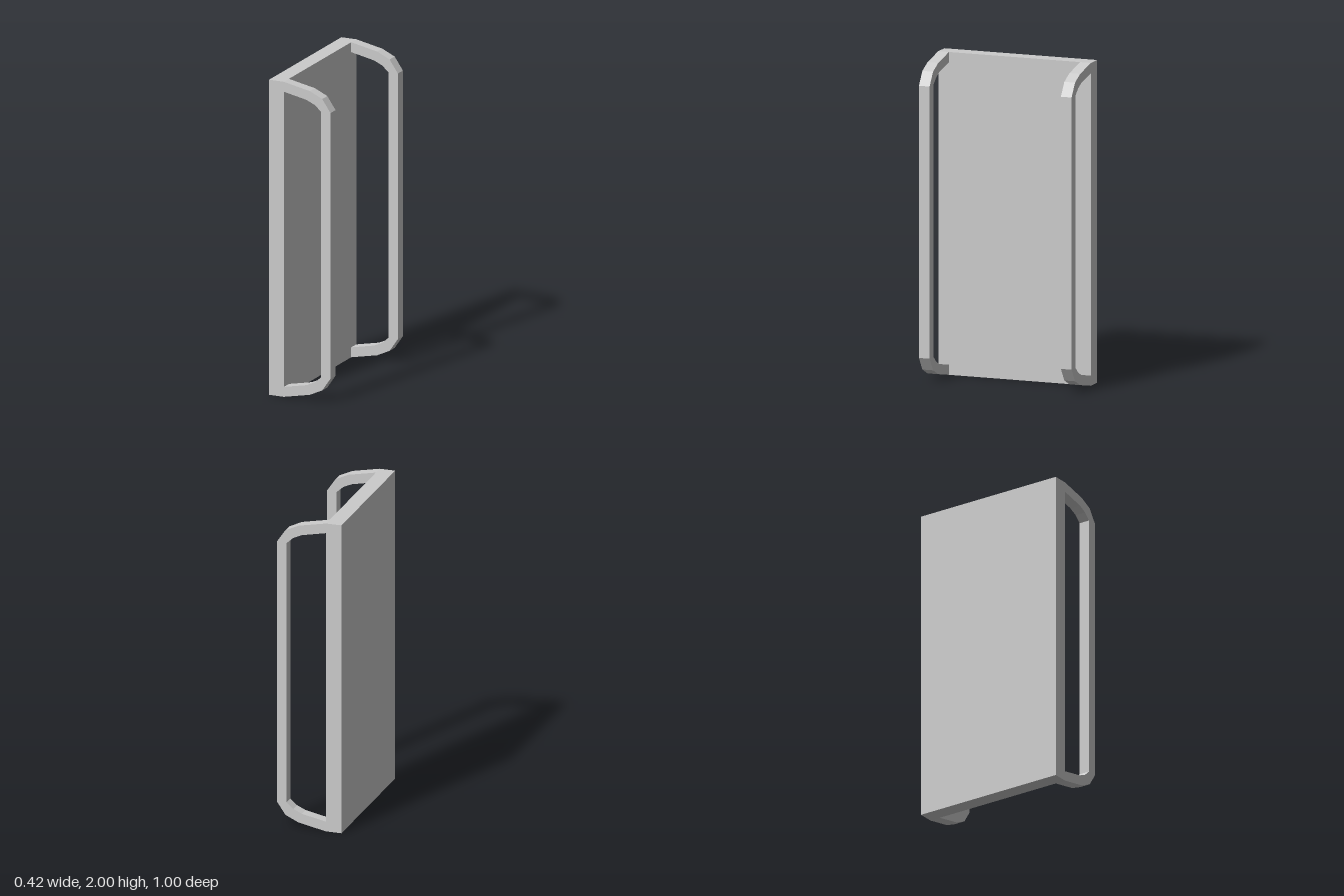
import * as THREE from 'three';

const PANEL_FRONT = -0.11;
const HALF_WIDTH = 0.5;
const RAIL_DEPTH = 0.07;

// Upper halves of the rail outline, mirrored about y = 1 for the lower half
const OUTER = [[PANEL_FRONT, 2], [0.066, 1.964], [0.15, 1.925], [0.206, 1.843]];
const INNER = [[PANEL_FRONT, 1.937], [0.045, 1.905], [0.1, 1.88], [0.143, 1.842]];

function mirrored(half) {
  const lower = half.map(([x, y]) => [x, 2 - y]).reverse();
  return [...half, ...lower].map(([x, y]) => new THREE.Vector2(x, y));
}

export function createModel() {
  const group = new THREE.Group();
  const material = new THREE.MeshStandardMaterial({ color: 0xcccccc, flatShading: true });

  // Flat back panel
  const panel = new THREE.Mesh(new THREE.BoxGeometry(0.1, 2, 2 * HALF_WIDTH), material);
  panel.name = 'backPanel';
  panel.position.set(PANEL_FRONT - 0.05, 1, 0);
  group.add(panel);

  // Bent side rails, one at each edge of the panel
  const outline = new THREE.Shape([...mirrored(OUTER), ...mirrored(INNER).reverse()]);
  const railGeometry = new THREE.ExtrudeGeometry(outline, { depth: RAIL_DEPTH, bevelEnabled: false });
  for (const [name, z] of [['frontRail', HALF_WIDTH - RAIL_DEPTH], ['backRail', -HALF_WIDTH]]) {
    const rail = new THREE.Mesh(railGeometry, material);
    rail.name = name;
    rail.position.z = z;
    group.add(rail);
  }

  return group;
}
